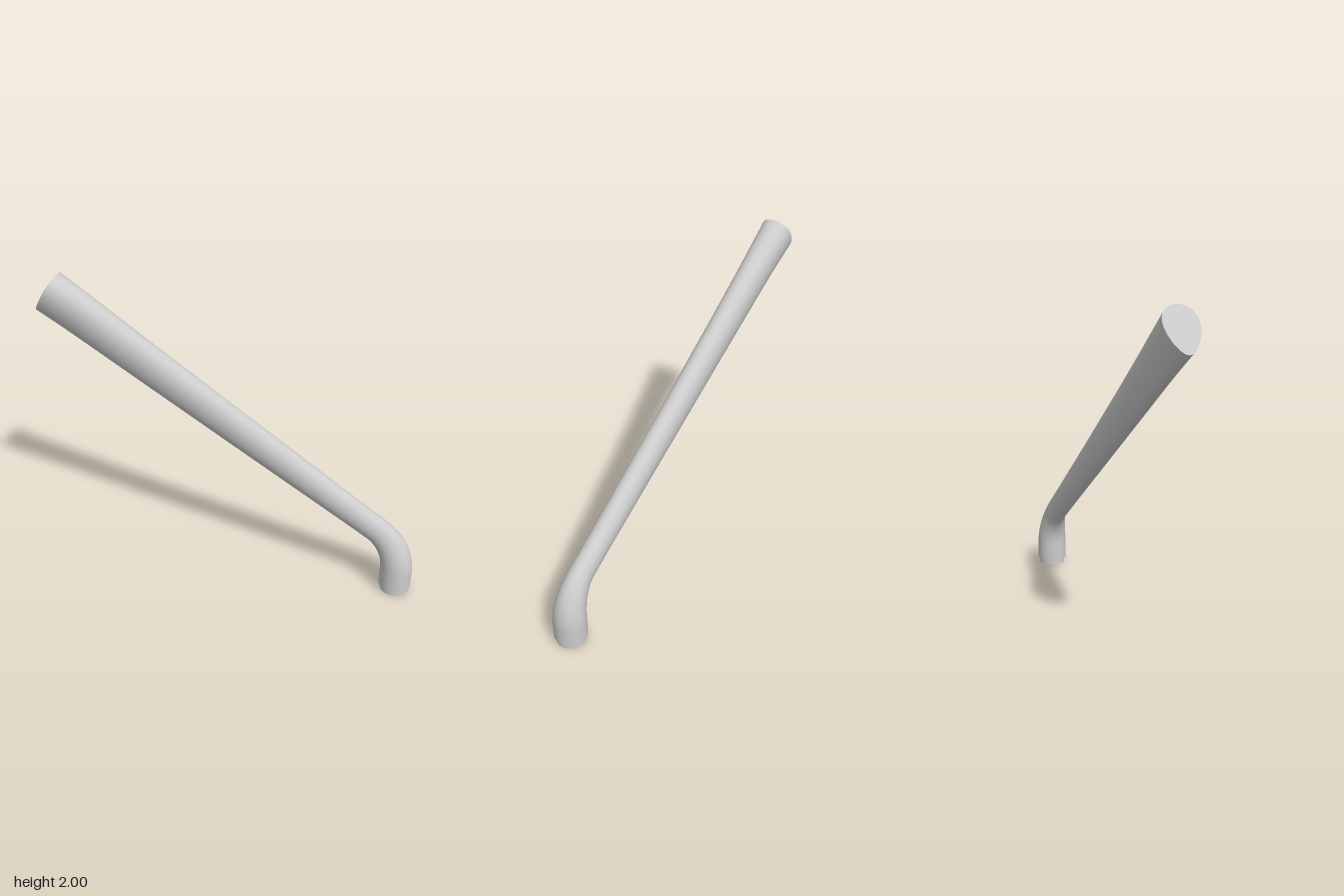
import * as THREE from 'three';

const SIDES = 48;
const BASE_X = -0.805 * Math.SQRT2; // base position along the arm's diagonal plane
const material = new THREE.MeshStandardMaterial({ color: 0xcccccc });

// A cross-section: centre (x, y), axis angle a, half width w, half height h, egg factor k.
function ringPoints({ x, y, a, w, h, k }) {
  const points = [];
  for (let j = 0; j < SIDES; j++) {
    const t = (j / SIDES) * Math.PI * 2;
    const s = Math.sin(t);
    const up = h * s;
    const side = w * Math.cos(t) * (1 + k * s);
    points.push([x - Math.sin(a) * up, y + Math.cos(a) * up, side]);
  }
  return points;
}

function makeGeometry(points, index) {
  const geometry = new THREE.BufferGeometry();
  geometry.setAttribute('position', new THREE.Float32BufferAttribute(points.flat(), 3));
  geometry.setIndex(index);
  geometry.computeVertexNormals();
  return geometry;
}

// Smooth skin through a list of cross-sections
function loft(sections) {
  const index = [];
  for (let i = 0; i < sections.length - 1; i++) {
    for (let j = 0; j < SIDES; j++) {
      const k = (j + 1) % SIDES;
      const a = i * SIDES + j, b = i * SIDES + k;
      const c = a + SIDES, d = b + SIDES;
      index.push(a, c, d, a, d, b);
    }
  }
  return makeGeometry(sections.flatMap(ringPoints), index);
}

// Flat face closing a cross-section
function cap(section, atEnd) {
  const points = [...ringPoints(section), [section.x, section.y, 0]];
  const index = [];
  for (let j = 0; j < SIDES; j++) {
    const k = (j + 1) % SIDES;
    index.push(SIDES, ...(atEnd ? [k, j] : [j, k]));
  }
  return makeGeometry(points, index);
}

export function createModel() {
  const model = new THREE.Group();
  model.name = 'bentArm';
  const arm = new THREE.Group();
  arm.name = 'arm';
  arm.rotation.y = Math.PI * 0.75; // the arm lies in the diagonal plane
  model.add(arm);

  const add = (name, geometry) => {
    const mesh = new THREE.Mesh(geometry, material);
    mesh.name = name;
    arm.add(mesh);
    return mesh;
  };

  // Upright foot, then the elbow arc narrowing into the shaft
  const R = 0.36, bendY = 0.155, tilt = 0.583, steps = 14;
  const sections = [{ x: BASE_X, y: 0.04, a: Math.PI / 2, w: 0.105, h: 0.105, k: 0 }];
  for (let i = 0; i <= steps; i++) {
    const f = i / steps;
    const a = THREE.MathUtils.lerp(Math.PI / 2, tilt, f);
    const e = THREE.MathUtils.smoothstep(f, 0, 1);
    sections.push({
      x: BASE_X + R * (1 - Math.sin(a)),
      y: bendY + R * Math.cos(a),
      a,
      w: 0.105 - 0.035 * e,
      h: 0.105 - 0.015 * e,
      k: 0.03 * e,
    });
  }

  // Straight shaft, flaring to an egg-shaped end: [diagonal position, y, w, h, k]
  const stations = [
    [0.6, 0.54, 0.07, 0.092, 0.05],
    [0.3, 0.82, 0.071, 0.105, 0.1],
    [0, 1.1, 0.074, 0.117, 0.14],
    [-0.35, 1.428, 0.079, 0.131, 0.2],
    [-0.6, 1.664, 0.086, 0.141, 0.24],
    [-0.7, 1.758, 0.092, 0.145, 0.26],
    [-0.83, 1.875, 0.102, 0.15, 0.28],
  ];
  for (const [u, y, w, h, k] of stations) {
    sections.push({ x: -u * Math.SQRT2, y, a: tilt, w, h, k });
  }

  add('armTube', loft(sections));
  add('footFace', cap(sections[0], false));
  add('endFace', cap(sections[sections.length - 1], true));

  // Recessed collar under the foot
  const collar = add('baseCollar', new THREE.CylinderGeometry(0.093, 0.093, 0.042, SIDES));
  collar.position.set(BASE_X, 0.021, 0);

  return model;
}
